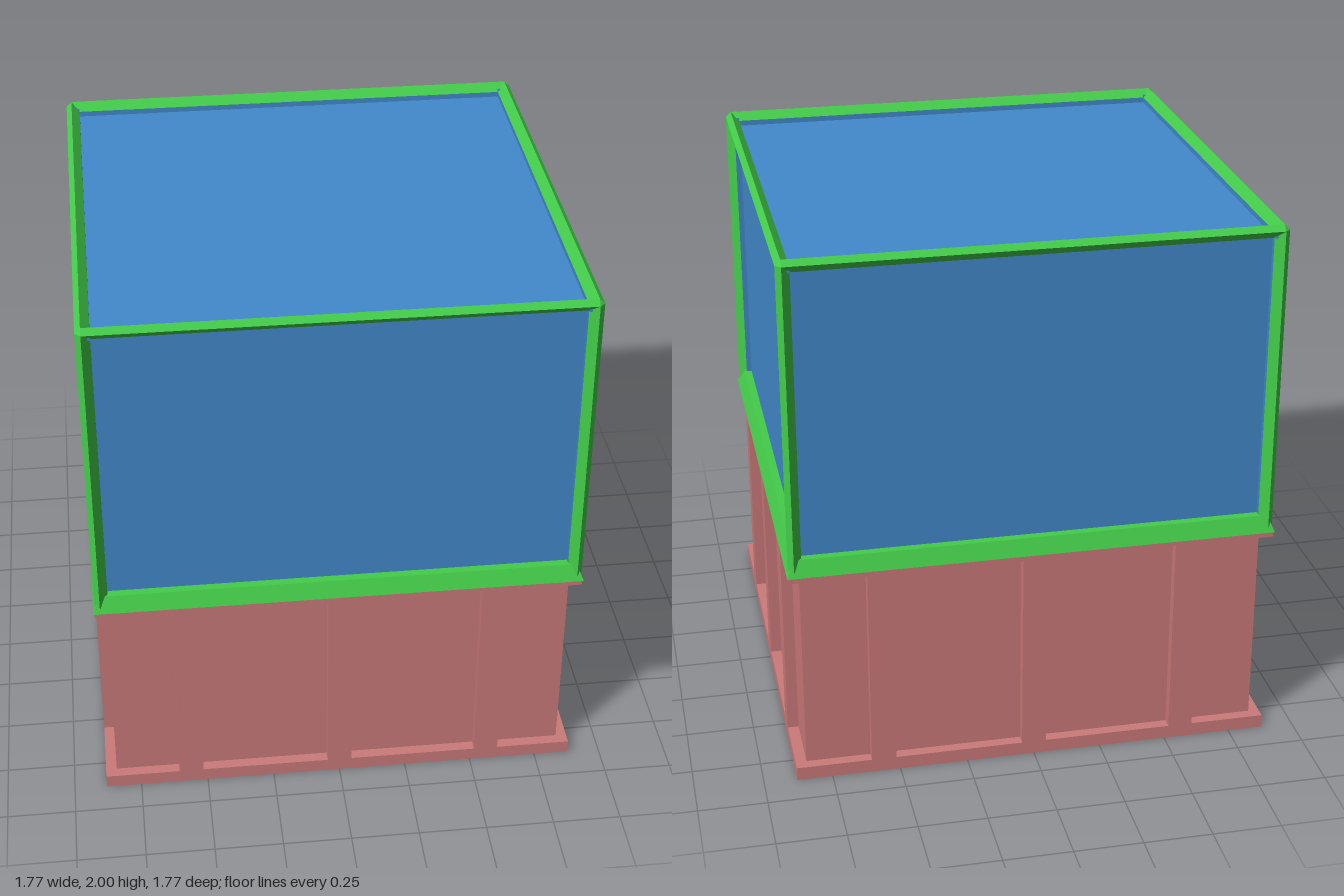
import * as THREE from 'three';
import { ConvexGeometry } from 'three/addons/geometries/ConvexGeometry.js';

const HALF = 0.88, TOP = 2;
const mat = (color) => new THREE.MeshStandardMaterial({ color, flatShading: true });

export function createModel() {
  const red = mat(0xcc7a7a), green = mat(0x44cc4a), blue = mat(0x428acc);
  const model = new THREE.Group();

  const add = (name, geometry, material, parent = model) => {
    const mesh = new THREE.Mesh(geometry, material);
    mesh.name = name;
    parent.add(mesh);
    return mesh;
  };
  // Square slab between two heights
  const slab = (name, half, y0, y1, material) => {
    add(name, new THREE.BoxGeometry(2 * half, y1 - y0, 2 * half), material).position.y = (y0 + y1) / 2;
  };
  // Bar section given as insets from a box edge that passes through (HALF, edge)
  const section = (insets, edge, length) => new THREE.ExtrudeGeometry(
    new THREE.Shape(insets.map(([u, v]) => new THREE.Vector2(HALF - u, edge - v))),
    { depth: length, bevelEnabled: false });

  // Cabinet: plinth, recessed body and top lip
  slab('plinth', HALF, 0, 0.05, red);
  slab('cabinetBody', 0.84, 0.05, 0.81, red);
  slab('cabinetLip', HALF, 0.81, 0.83, red);

  // Sloping sill under the glass
  const r = Math.SQRT2;
  const sill = new THREE.CylinderGeometry(0.86 * r, 0.885 * r, 0.06, 4, 1);
  sill.rotateY(Math.PI / 4).translate(0, 0.86, 0);
  add('sill', sill, green);

  // Glass block
  slab('glass', 0.83, 0.87, 1.95, blue);

  const rail = [[0, 0.02], [0.02, 0], [0.05, 0.03], [0.03, 0.05]];
  const gasket = [[0.05, 0.03], [0.05, 0.05], [0.03, 0.05]];
  const corner = [[0.02, 0, 0.02], [0.02, 0.02, 0], [0, 0.02, 0.02], [0.05, 0.05, 0.05]]
    .map(([x, y, z]) => new THREE.Vector3(HALF - x, TOP - y, HALF - z));

  // One side at a time: battens, top rail, corner post and corner cap
  for (let k = 0; k < 4; k++) {
    const side = new THREE.Group();
    side.name = 'side' + (k + 1);
    side.rotation.y = k * Math.PI / 2;
    model.add(side);

    for (const z of [-0.56, 0, 0.56]) {
      add('batten', new THREE.BoxGeometry(0.05, 0.76, 0.09), red, side)
        .position.set(HALF - 0.025, 0.43, z);
    }
    for (const [part, insets, material] of [['Frame', rail, green], ['Gasket', gasket, blue]]) {
      const bar = section(insets, TOP, 1.72).translate(0, 0, -0.86);
      add('top' + part, bar, material, side);
      const post = section(insets, HALF, 1.13).rotateX(-Math.PI / 2).translate(0, 0.85, 0);
      add('post' + part, post, material, side);
    }
    add('cornerCap', new ConvexGeometry(corner), green, side);
  }
  return model;
}
